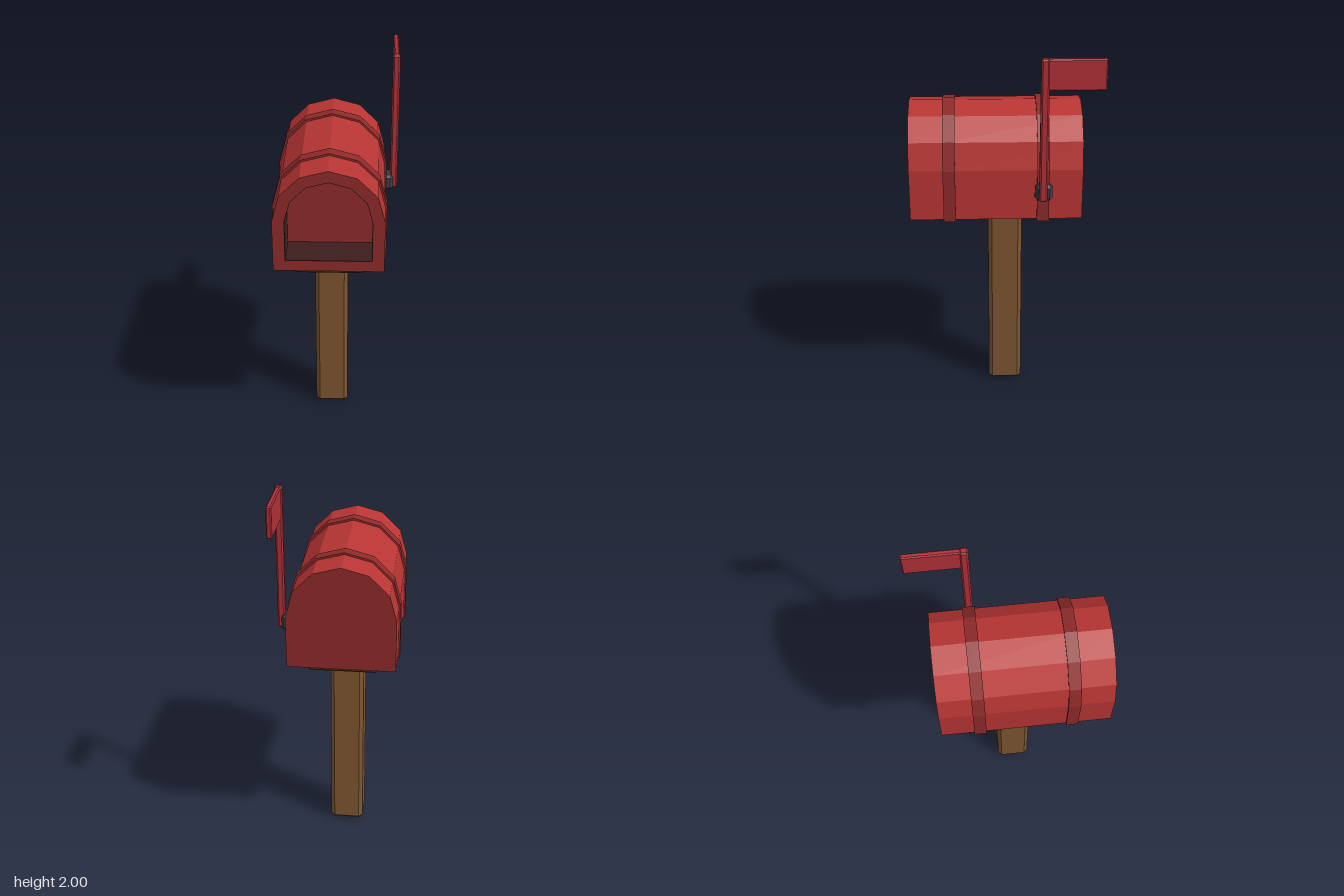
import * as THREE from 'three';
import { ConvexGeometry } from 'three/addons/geometries/ConvexGeometry.js';

const CX = -0.032; // centre line of box and post
const ARCH_Y = 1.402; // height where the straight walls meet the arch

const paint = (color) => new THREE.MeshStandardMaterial({ color, flatShading: true });

// Box with chamfered edges, given by its min and max corners
function chamferBox(min, max, c) {
  const mid = min.map((v, i) => (v + max[i]) / 2);
  const half = min.map((v, i) => (max[i] - v) / 2);
  const points = [];
  for (const sx of [-1, 1]) for (const sy of [-1, 1]) for (const sz of [-1, 1]) {
    const s = [sx, sy, sz];
    for (let full = 0; full < 3; full++) {
      const p = s.map((sign, i) => mid[i] + sign * (half[i] - (i === full ? 0 : c)));
      points.push(new THREE.Vector3(...p));
    }
  }
  return new ConvexGeometry(points);
}

// Straight walls topped by a six-sided half circle
function archPoints(radius, bottom) {
  const pts = [new THREE.Vector2(CX - radius, bottom), new THREE.Vector2(CX + radius, bottom)];
  for (let i = 0; i <= 6; i++) {
    const a = (i * Math.PI) / 6;
    pts.push(new THREE.Vector2(CX + radius * Math.cos(a), ARCH_Y + radius * Math.sin(a)));
  }
  return pts;
}

// Arch-shaped slab between two depths, optionally hollow
function archSlab(outer, inner, z0, z1) {
  const shape = new THREE.Shape(archPoints(...outer));
  if (inner) shape.holes.push(new THREE.Path(archPoints(...inner)));
  const geo = new THREE.ExtrudeGeometry(shape, { depth: z1 - z0, bevelEnabled: false });
  return geo.translate(0, 0, z0);
}

export function createModel() {
  const group = new THREE.Group();
  const red = paint(0xb83533);
  const darkRed = paint(0x8e2a2a);
  const inside = paint(0x3c1c1c);
  const flagRed = paint(0xb03038);
  const wood = paint(0x7d5530);
  const darkWood = paint(0x62421f);
  const metal = paint(0x3a3f47);

  const add = (name, geometry, material) => {
    const mesh = new THREE.Mesh(geometry, material);
    mesh.name = name;
    group.add(mesh);
  };

  // Post and mounting board
  add('post', chamferBox([CX - 0.088, 0, -0.092], [CX + 0.088, 1.085, 0.086], 0.02), wood);
  add('mountingBoard', chamferBox([CX - 0.178, 1.08, -0.33], [CX + 0.178, 1.13, 0.428], 0.012), darkWood);

  // Box: solid rear, hollow front with a dark lining
  const body = [0.273, 1.13];
  const opening = [0.215, 1.185];
  const lining = [0.212, 1.188];
  add('boxRear', archSlab(body, null, -0.39, 0.3), [darkRed, red]);
  add('boxFront', archSlab(body, opening, 0.3, 0.482), [darkRed, red]);
  add('openingLining', archSlab(opening, lining, 0.3, 0.481), inside);

  // Raised bands around the box
  for (const z of [0.281, -0.191]) {
    add('band', archSlab([0.283, 1.122], body, z - 0.031, z + 0.031), darkRed);
  }

  // Signal flag on its bracket
  add('flagBracket', chamferBox([0.238, 1.25, -0.235], [0.287, 1.335, -0.148], 0.014), metal);
  add('flagPole', chamferBox([0.271, 1.255, -0.209], [0.309, 2, -0.168], 0.008), flagRed);
  add('flag', chamferBox([0.277, 1.843, -0.482], [0.304, 2, -0.2], 0.006), flagRed);

  return group;
}
